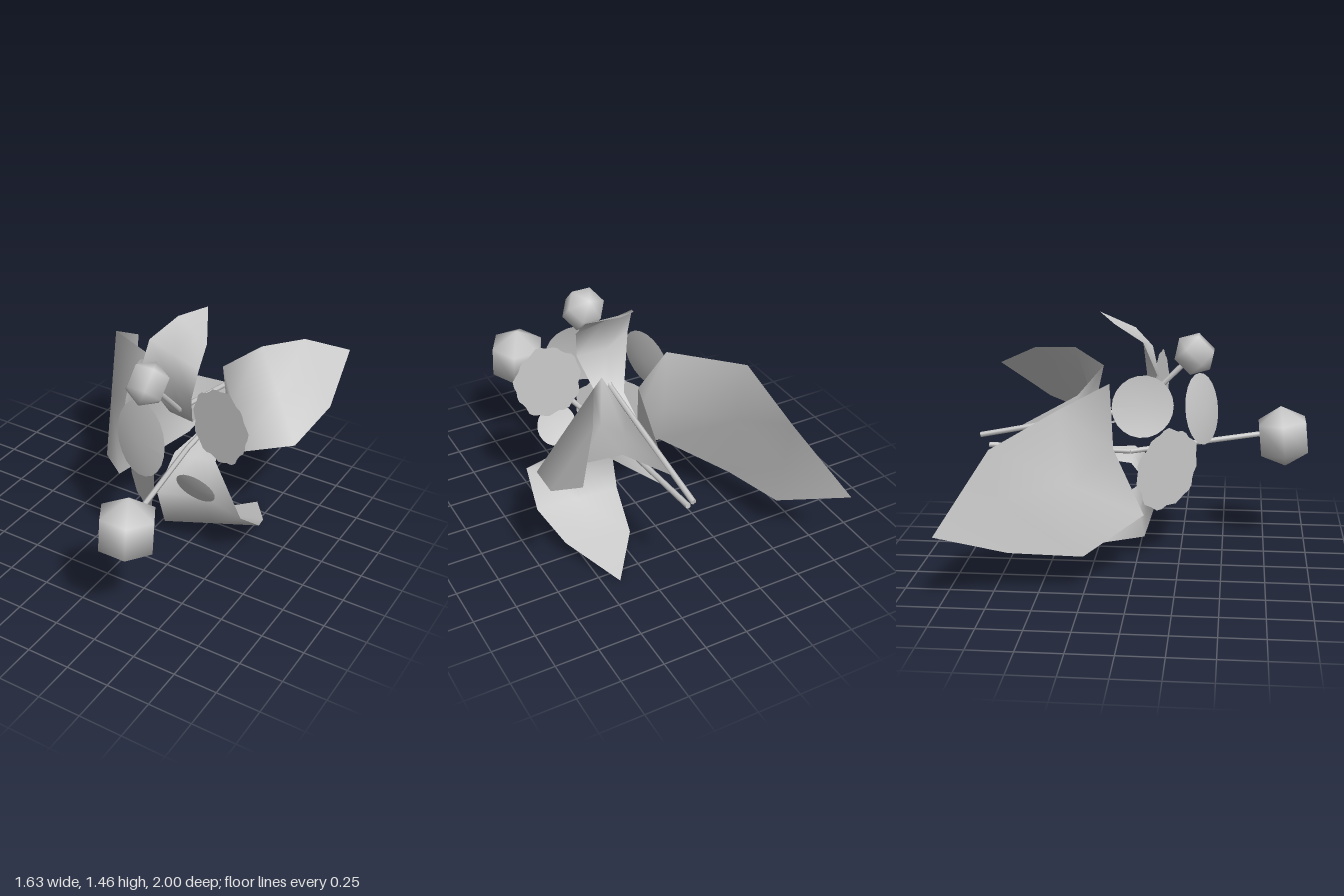
import * as THREE from 'three';

const V = (p) => new THREE.Vector3(...p);

export function createModel() {
  const group = new THREE.Group();
  const grey = new THREE.MeshStandardMaterial({ color: 0xcccccc, side: THREE.DoubleSide });
  grey.name = 'pale grey';

  const add = (name, geometry, position, facing) => {
    const mesh = new THREE.Mesh(geometry, grey);
    mesh.name = name;
    if (position) mesh.position.copy(V(position));
    if (facing) mesh.lookAt(V(position).add(V(facing)));
    group.add(mesh);
    return mesh;
  };

  // Leaf: a strip of cross-sections [edge, edge, optional middle] from the foot to the tip
  const leaf = (name, foot, rows, tip) => {
    const sections = [[foot, foot], ...rows, [tip, tip]];
    const pos = [], index = [];
    sections.forEach(([a, b, m], i) => {
      const mid = m ?? a.map((v, k) => (v + b[k]) / 2);
      pos.push(...a, ...mid, ...b);
      if (!i) return;
      for (let c = 0; c < 2; c++) {
        const p = (i - 1) * 3 + c, q = p + 3;
        if (i > 1) index.push(p, p + 1, q);
        if (i < sections.length - 1) index.push(p + 1, q + 1, q);
        else if (c === 0) index.push(p + 1, p + 2, q);
      }
    });
    const g = new THREE.BufferGeometry();
    g.setAttribute('position', new THREE.Float32BufferAttribute(pos, 3));
    g.setIndex(index);
    g.computeVertexNormals();
    add(name, g);
  };

  leaf('rightLeaf', [0.17, 0.75, -0.65], [
    [[0.11, 1.0, -0.24], [0.11, 0.62, -0.22]],
    [[-0.12, 1.11, -0.14], [-0.2, 0.37, 0.06], [-0.12, 0.73, -0.12]],
    [[-0.5, 1.045, -0.38], [-0.5, 0.225, -0.25]],
    [[-0.57, 0.84, -0.74], [-0.57, 0.26, -0.65]],
  ], [-0.82, 0.43, -1.0]);

  leaf('leftLeaf', [0.18, 0.76, -0.73], [
    [[0.25, 0.95, -0.37], [0.28, 0.7, -0.38]],
    [[0.32, 1.12, -0.22], [0.45, 0.595, -0.22], [0.36, 0.86, -0.28]],
    [[0.46, 1.2, -0.41], [0.755, 0.7, -0.3]],
    [[0.6, 1.165, -0.68], [0.815, 0.81, -0.62]],
  ], [0.78, 1.03, -0.93]);

  leaf('lowerLeaf', [0.18, 0.64, -0.65], [
    [[0.12, 0.58, -0.04], [0.39, 0.61, -0.04]],
    [[0.1, 0.385, 0.12], [0.645, 0.41, 0.12], [0.37, 0.41, 0.05]],
    [[0.105, 0.13, 0.04], [0.67, 0.25, -0.07]],
    [[0.18, 0.045, -0.27], [0.595, 0.13, -0.28]],
  ], [0.405, 0.005, -0.58]);

  leaf('upperLeaf', [0.17, 0.72, -0.62], [
    [[0.09, 0.85, -0.03], [0.24, 0.83, -0.03]],
    [[-0.015, 1.14, 0.12], [0.31, 1.07, 0.11], [0.15, 1.11, 0.05]],
    [[0, 1.32, 0.04], [0.33, 1.24, 0.07]],
    [[0.08, 1.41, -0.13], [0.32, 1.35, -0.03]],
  ], [0.21, 1.46, -0.23]);

  // Petal: a shallow disc, either round or with a ragged rim
  const petal = (name, position, facing, rx, ry, ragged, dome, roll = 0) => {
    const g = new THREE.CircleGeometry(1, ragged ? 40 : 22);
    const p = g.attributes.position;
    for (let i = 0; i < p.count; i++) {
      const t = Math.atan2(p.getY(i), p.getX(i));
      const r = ragged ? 0.96 + 0.03 * Math.sin(5 * t + 1) + 0.035 * Math.sin(11 * t) : 1;
      p.setXYZ(i, p.getX(i) * rx * r, p.getY(i) * ry * r, i === 0 ? dome : 0);
    }
    g.rotateZ(roll);
    g.computeVertexNormals();
    add(name, g, position, facing);
  };
  petal('frontPetal', [0.15, 0.91, 0.37], [-0.38, 0.17, 0.9], 0.216, 0.208, false, 0.03);
  petal('rightPetal', [-0.095, 0.975, 0.045], [0.96, -0.1, -0.25], 0.177, 0.177, false, 0.025);
  petal('leftRaggedPetal', [0.49, 0.955, 0.11], [-0.19, 0, 0.98], 0.195, 0.23, true, 0);
  petal('rightRaggedPetal', [0.03, 0.575, 0.18], [-0.65, 0, 0.76], 0.26, 0.24, true, 0, 0.3);
  petal('smallPetal', [0.405, 0.58, 0.21], [0, -0.42, 0.9], 0.12, 0.122, false, 0.015);

  // Berries: coarse six-sided spheres pitched along their stems
  const berry = (name, position, radius, pitch) => {
    add(name, new THREE.SphereGeometry(radius, 6, 3), position).rotation.x = -pitch;
  };
  berry('largeBerry', [0.37, 0.697, 0.85], 0.185, 0.1);
  berry('smallBerry', [0.163, 1.23, 0.322], 0.127, 0.78);

  // Stems: straight rods joined at a bend
  const stem = (name, points) => {
    for (let i = 1; i < points.length; i++) {
      const a = V(points[i - 1]), b = V(points[i]);
      const g = new THREE.CylinderGeometry(0.016, 0.016, a.distanceTo(b), 6);
      g.rotateX(Math.PI / 2);
      add(name, g, a.clone().lerp(b, 0.5).toArray(), b.sub(a).toArray());
    }
  };
  stem('largeBerryStem', [[0.165, 0.66, -0.89], [0.2, 0.63, -0.05], [0.36, 0.715, 0.74]]);
  stem('smallBerryStem', [[0.165, 0.72, -0.94], [0.165, 0.9, -0.01], [0.165, 1.18, 0.27]]);

  return group;
}
